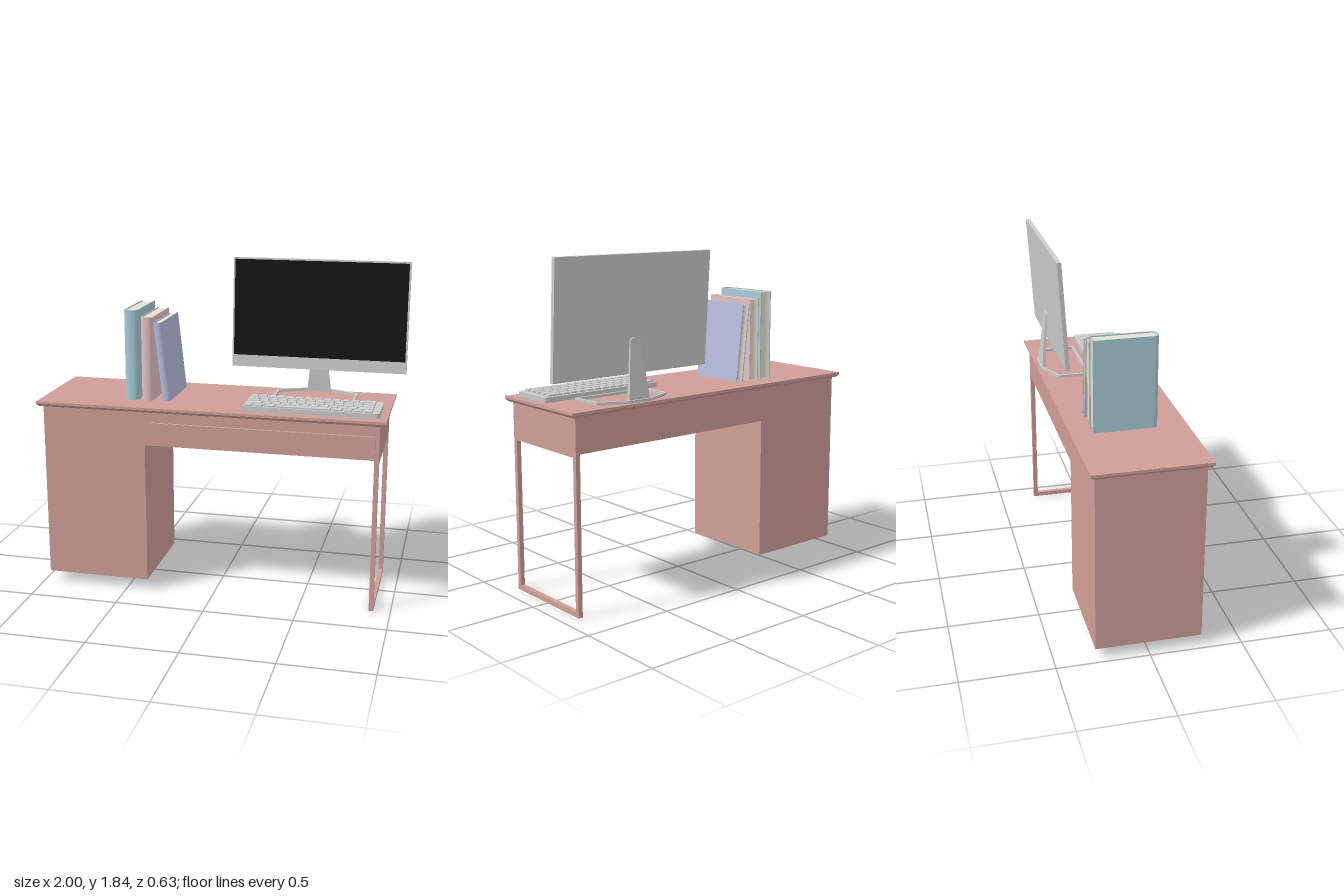
import * as THREE from 'three';
import { RoundedBoxGeometry } from 'three/addons/geometries/RoundedBoxGeometry.js';

const mat = (color) => new THREE.MeshStandardMaterial({ color });
const wood = mat(0xd09e98), grey = mat(0xcccccc), black = mat(0x141414), paper = mat(0xe6e2cf);
const TOP = 1.08; // height of the desk surface

function add(parent, name, geometry, material) {
  const mesh = new THREE.Mesh(geometry, material);
  mesh.name = name;
  parent.add(mesh);
  return mesh;
}

// Box given by its lower and upper limits on each axis
function box(parent, name, [x0, x1], [y0, y1], [z0, z1], material) {
  const mesh = add(parent, name, new THREE.BoxGeometry(x1 - x0, y1 - y0, z1 - z0), material);
  mesh.position.set((x0 + x1) / 2, (y0 + y1) / 2, (z0 + z1) / 2);
  return mesh;
}

function polygon(points, Type = THREE.Shape) {
  return new Type(points.map(([x, y]) => new THREE.Vector2(x, y)));
}

// Extrudes a plan drawn as (x, -z) upwards from y = 0
function extrudeUp(shape, height) {
  const g = new THREE.ExtrudeGeometry(shape, { depth: height, bevelEnabled: false, curveSegments: 12 });
  return g.rotateX(-Math.PI / 2);
}

function makeDesk() {
  const desk = new THREE.Group();
  desk.name = 'desk';
  box(desk, 'deskTop', [-1, 0.94], [1.066, TOP], [-0.313, 0.313], wood);

  // Underside of the top, tapering inwards
  const lip = box(desk, 'deskTopLip', [-1, 0.94], [1.052, 1.066], [-0.313, 0.313], wood);
  const p = lip.geometry.attributes.position;
  for (let i = 0; i < p.count; i++) {
    if (p.getY(i) < 0) {
      p.setX(i, p.getX(i) - Math.sign(p.getX(i)) * 0.012);
      p.setZ(i, p.getZ(i) - Math.sign(p.getZ(i)) * 0.012);
    }
  }
  lip.geometry.computeVertexNormals();

  box(desk, 'cabinet', [-0.967, -0.38], [0.06, 1.053], [-0.286, 0.286], wood);
  box(desk, 'drawerCase', [-0.38, 0.907], [0.86, 1.053], [-0.286, 0.286], wood);
  box(desk, 'drawerFront', [-0.353, 0.885], [0.876, 0.993], [0.28, 0.303], wood);

  // Open rectangular leg frame
  const frame = polygon([[-0.286, 0], [0.286, 0], [0.286, 0.86], [-0.286, 0.86]]);
  frame.holes.push(polygon([[-0.261, 0.025], [-0.261, 0.843], [0.261, 0.843], [0.261, 0.025]], THREE.Path));
  const leg = add(desk, 'legFrame',
    new THREE.ExtrudeGeometry(frame, { depth: 0.025, bevelEnabled: false }), wood);
  leg.rotation.y = Math.PI / 2;
  leg.position.x = 0.882;
  return desk;
}

function makeMonitor() {
  const monitor = new THREE.Group();
  monitor.name = 'monitor';

  // Tilted panel, pivoting on its lower edge
  const panel = new THREE.Group();
  panel.name = 'panel';
  panel.position.set(0.5, 1.222, -0.218);
  panel.rotation.x = -0.064;
  monitor.add(panel);
  box(panel, 'housing', [-0.497, 0.497], [0, 0.62], [-0.012, 0.012], grey);
  box(panel, 'screen', [-0.488, 0.488], [0.067, 0.611], [0.01, 0.0135], black);

  // Upright, narrowing to a rounded top
  const s = new THREE.Shape();
  s.moveTo(-0.068, 0);
  s.lineTo(0.068, 0);
  s.lineTo(0.033, 0.31);
  s.quadraticCurveTo(0.03, 0.333, 0, 0.333);
  s.quadraticCurveTo(-0.03, 0.333, -0.033, 0.31);
  const g = new THREE.ExtrudeGeometry(s, { depth: 0.02, bevelEnabled: false });
  const p = g.attributes.position;
  // Lean forward and thin towards the top
  for (let i = 0; i < p.count; i++) {
    const t = p.getY(i) / 0.333;
    p.setZ(i, -0.288 + 0.036 * t + p.getZ(i) * (1 - 0.6 * t));
  }
  g.computeVertexNormals();
  add(monitor, 'standUpright', g, grey).position.set(0.5, TOP, 0);

  // Base ring
  const outline = (d) => [[-0.232 + d, 0.038 + d], [0.232 - d, 0.038 + d], [0.232 - d, 0.222 - d * 0.6],
    [0.075, 0.295 - d], [-0.075, 0.295 - d], [-0.232 + d, 0.222 - d * 0.6]];
  const ring = polygon(outline(0));
  ring.holes.push(polygon(outline(0.014), THREE.Path));
  add(monitor, 'standBase', extrudeUp(ring, 0.015), grey).position.set(0.5, TOP, 0);
  return monitor;
}

function makeKeyboard() {
  const keyboard = new THREE.Group();
  keyboard.name = 'keyboard';
  const x0 = 0.16, x1 = 0.897, z0 = -0.004, z1 = 0.255, r = 0.02;
  const plan = new THREE.Shape();
  plan.moveTo(x0, -z1);
  plan.lineTo(x1 - r, -z1);
  plan.quadraticCurveTo(x1, -z1, x1, -z1 + r);
  plan.lineTo(x1, -z0 - r);
  plan.quadraticCurveTo(x1, -z0, x1 - r, -z0);
  plan.lineTo(x0, -z0);
  add(keyboard, 'keyboardBody', extrudeUp(plan, 0.028), grey).position.y = TOP;

  // Key widths per row, in key units; each row is stretched to the same length
  const ones = (n) => Array(n).fill(1);
  const rows = [
    [...ones(12), 1.8],
    [1.3, ...ones(11), 1.3],
    [1.5, ...ones(10), 1, 1.2],
    [1.9, ...ones(10), 1.7],
    [1, 1.1, 1.2, 5.6, 1.1, 1, 1, 1],
  ];
  const start = 0.166, length = 0.702, gap = 0.009;
  rows.forEach((row, j) => {
    const unit = length / row.reduce((a, b) => a + b, 0);
    let x = start;
    for (const w of row) {
      const key = add(keyboard, 'key',
        new RoundedBoxGeometry(w * unit - gap, 0.018, 0.036, 1, 0.004), grey);
      key.position.set(x + (w * unit - gap) / 2, TOP + 0.029, 0.034 + j * 0.0485);
      x += w * unit;
    }
  });
  return keyboard;
}

// Upright book with a rounded spine at the front and hollowed page edges at the back
function makeBook(name, width, height, color) {
  const book = new THREE.Group();
  book.name = name;
  const w = width / 2, t = 0.005, back = 0.195, front = -0.13;
  const cover = new THREE.Shape();
  cover.moveTo(-w, back);
  cover.lineTo(-w, front);
  cover.bezierCurveTo(-w, front - 0.033, w, front - 0.033, w, front);
  cover.lineTo(w, back);
  cover.lineTo(w - t, back);
  cover.lineTo(w - t, front + 0.005);
  cover.bezierCurveTo(w - t, front - 0.022, -w + t, front - 0.022, -w + t, front + 0.005);
  cover.lineTo(-w + t, back);
  add(book, 'cover', extrudeUp(cover, height), mat(color));

  const i = w - t;
  const pages = new THREE.Shape();
  pages.moveTo(-i, back - 0.004);
  pages.lineTo(-i, front + 0.005);
  pages.bezierCurveTo(-i, front - 0.022, i, front - 0.022, i, front + 0.005);
  pages.lineTo(i, back - 0.004);
  pages.quadraticCurveTo(0, back - 0.03, -i, back - 0.004);
  add(book, 'pages', extrudeUp(pages, height - 0.012), paper).position.y = 0.006;
  return book;
}

export function createModel() {
  const model = new THREE.Group();
  model.name = 'deskWithComputer';
  model.add(makeDesk(), makeMonitor(), makeKeyboard());

  const tall = makeBook('tallBook', 0.078, 0.505, 0xa8ccd6);
  tall.position.set(-0.492, TOP, 0);
  const middle = makeBook('middleBook', 0.066, 0.468, 0xe2c2c6);
  middle.position.set(-0.403, TOP, 0);
  const leaning = makeBook('leaningBook', 0.05, 0.44, 0xb8bcdc);
  leaning.position.set(-0.292, TOP + 0.003, 0);
  leaning.rotation.z = 0.11;
  model.add(tall, middle, leaning);
  return model;
}
